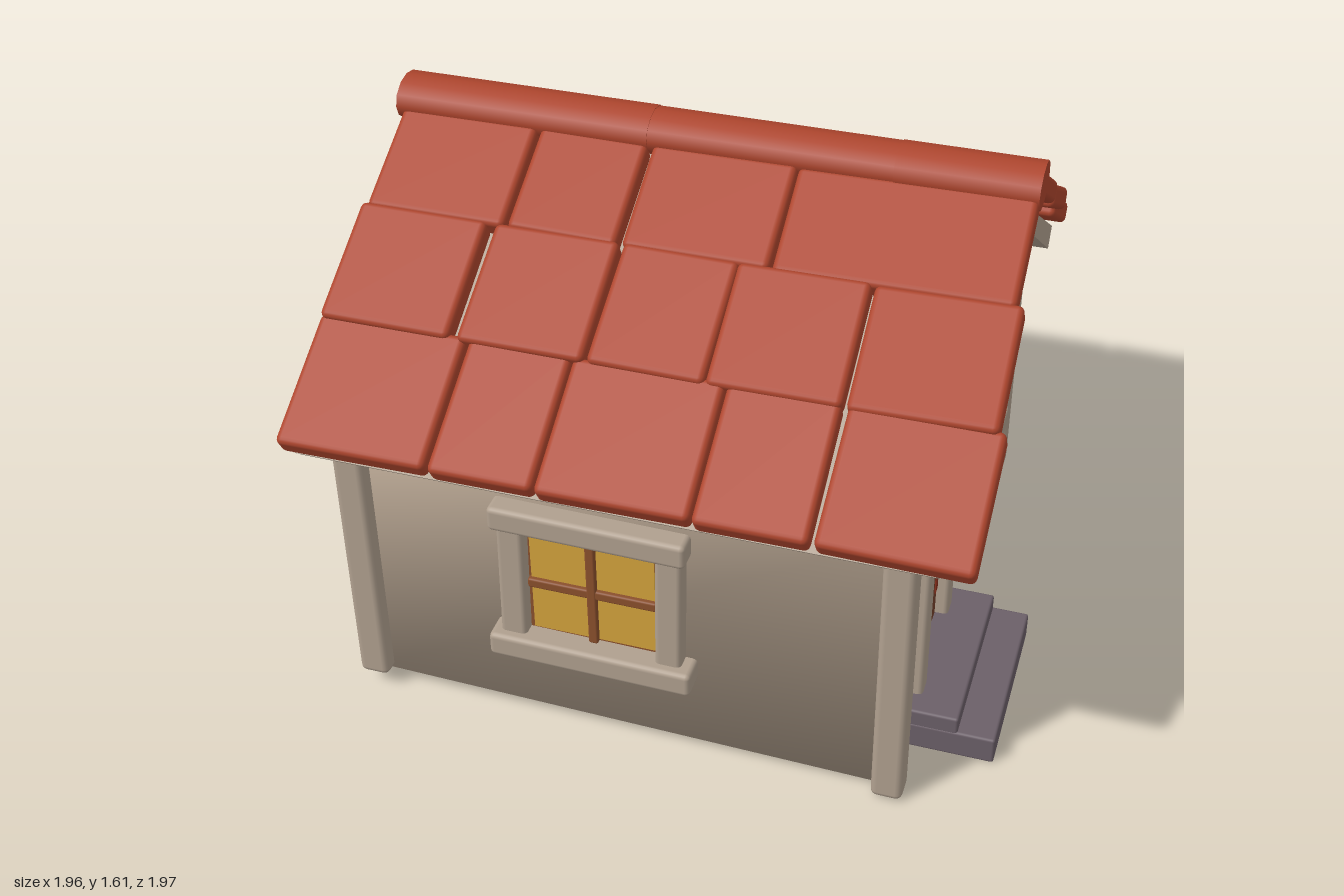
import * as THREE from 'three';
import { mergeVertices } from 'three/addons/utils/BufferGeometryUtils.js';
import { RoundedBoxGeometry } from 'three/addons/geometries/RoundedBoxGeometry.js';

const mat = (name, color) => new THREE.MeshStandardMaterial({ name, color });

export function createModel() {
  const plaster = mat('plaster', 0xb5a390);
  const trim = mat('trim', 0xb0a08f);
  const clay = mat('clay tile', 0xad452d);
  const glass = mat('lit glass', 0xd2a23c);
  const bars = mat('window wood', 0x8a4f2c);
  const doorWood = mat('door wood', 0x73402b);
  const stone = mat('stone', 0x6b5f68);
  const metal = mat('metal', 0x6c6a70);
  const red = mat('door mark', 0x8a2f1c);

  const house = new THREE.Group();
  house.name = 'house';

  const add = (parent, name, geometry, material, x = 0, y = 0, z = 0) => {
    const mesh = new THREE.Mesh(geometry, material);
    mesh.name = name;
    mesh.position.set(x, y, z);
    parent.add(mesh);
    return mesh;
  };

  // Soft-edged block given by its limits
  const block = (parent, name, material, [x0, x1], [y0, y1], [z0, z1], r = 0.015) =>
    add(parent, name, new RoundedBoxGeometry(x1 - x0, y1 - y0, z1 - z0, 2, r), material,
      (x0 + x1) / 2, (y0 + y1) / 2, (z0 + z1) / 2);

  // Prism along x from a (z, y) outline
  const prism = (outline, x0, x1) => {
    const shape = new THREE.Shape(outline.map(([z, y]) => new THREE.Vector2(-z, y)));
    return new THREE.ExtrudeGeometry(shape, { depth: x1 - x0, bevelEnabled: false })
      .rotateY(Math.PI / 2).translate(x0, 0, 0);
  };

  // Walls: gabled body with soft shading, floor rising to the left
  let body = prism([[0.81, 0.015], [0.81, 0.9], [0, 1.44], [-0.76, 0.91], [-0.76, 0.015]], -0.86, 0.7);
  const p = body.attributes.position;
  for (let i = 0; i < p.count; i++) if (p.getX(i) < 0 && p.getY(i) < 0.1) p.setY(i, 0.05);
  body.deleteAttribute('uv');
  body.deleteAttribute('normal');
  body = mergeVertices(body);
  body.computeVertexNormals();
  add(house, 'walls', body, plaster);

  // Corner posts
  for (const [x, z, y0] of [[0.715, 0.815, 0.005], [0.715, -0.755, 0.005], [-0.852, 0.81, 0.05], [-0.852, -0.765, 0.055]])
    block(house, 'cornerPost', trim, [x - 0.046, x + 0.046], [y0, 0.91], [z - 0.045, z + 0.045], 0.02);

  // Roof boards under the tiles
  add(house, 'roofBoards', prism([[0, 1.49], [0.92, 0.905], [0.865, 0.855], [0, 1.425],
    [-0.855, 0.83], [-0.9, 0.89]], -0.97, 0.82), trim);

  // Tile rows: lower end, upper end as (z, y), then x limits of every tile
  const rows = [
    [[0.975, 0.965], [0.63, 1.165], [[-0.98, -0.55], [-0.54, -0.245], [-0.24, 0.185], [0.19, 0.5], [0.515, 0.93]]],
    [[0.655, 1.17], [0.33, 1.35], [[-0.98, -0.6], [-0.575, -0.21], [-0.2, 0.13], [0.13, 0.5], [0.51, 0.91]]],
    [[0.34, 1.345], [0.05, 1.51], [[-0.965, -0.55], [-0.54, -0.22], [-0.205, 0.215], [0.22, 0.885]]],
    [[-0.965, 0.91], [-0.65, 1.11], [[-0.98, -0.575], [-0.565, -0.185], [-0.18, 0.145], [0.16, 0.51], [0.52, 0.855]]],
    [[-0.675, 1.125], [-0.35, 1.315], [[-0.95, -0.585], [-0.58, -0.21], [-0.205, 0.165], [0.17, 0.49], [0.485, 0.88]]],
    [[-0.365, 1.325], [-0.06, 1.515], [[-0.975, -0.585], [-0.575, -0.2], [-0.19, 0.2], [0.205, 0.485], [0.495, 0.88]]],
  ];
  let seed = 7;
  const jitter = (a) => {
    seed = (seed * 16807) % 2147483647;
    return (seed / 2147483647 - 0.5) * 2 * a;
  };
  const roof = new THREE.Group();
  roof.name = 'roofTiles';
  house.add(roof);
  for (const [[z0, y0], [z1, y1], tiles] of rows) {
    const length = Math.hypot(z1 - z0, y1 - y0);
    const row = new THREE.Group();
    row.name = 'tileRow';
    row.position.set(0, (y0 + y1) / 2, (z0 + z1) / 2);
    row.rotation.x = Math.atan((y0 - y1) / (z0 - z1)) * -1;
    roof.add(row);
    for (const [x0, x1] of tiles) {
      const tile = add(row, 'tile', new RoundedBoxGeometry(x1 - x0, 0.07, length, 2, 0.018), clay, (x0 + x1) / 2);
      tile.rotation.set(jitter(0.015), jitter(0.015), jitter(0.015));
    }
  }

  // Ridge caps
  for (const [x0, x1, s] of [[-0.98, -0.22, 1], [-0.22, 0.485, 0.97], [0.485, 0.885, 1]]) {
    const cap = new THREE.CylinderGeometry(0.086, 0.086, x1 - x0, 12).rotateZ(Math.PI / 2).scale(1, 0.76 * s, s);
    add(roof, 'ridgeCap', cap, clay, (x0 + x1) / 2, 1.543, -0.003);
  }

  // Window facing +z, origin at the middle of the pane on the wall
  const addWindow = (name, x, y, z, turn, w = 0.38, h = 0.37, tilt = 0) => {
    const g = new THREE.Group();
    g.name = name;
    g.position.set(x, y, z);
    g.rotation.set(0, turn, tilt, 'YXZ');
    house.add(g);
    const a = w / 2, b = h / 2;
    add(g, 'sash', new THREE.BoxGeometry(w + 0.02, h + 0.02, 0.008), bars, 0, 0, 0.004);
    add(g, 'pane', new THREE.BoxGeometry(w - 0.015, h - 0.015, 0.008), glass, 0, 0, 0.008);
    block(g, 'uprightBar', bars, [-0.015, 0.013], [-b, b], [0, 0.028], 0.006);
    block(g, 'crossBar', bars, [-a, a], [-0.022, 0.008], [0, 0.026], 0.006);
    for (const s of [-1, 1]) {
      const jamb = block(g, 'jamb', trim, [s * (a + 0.04) - 0.039, s * (a + 0.04) + 0.039],
        [-b - 0.02, b + 0.02], [-0.02, 0.05]);
      jamb.rotation.z = -0.02;
    }
    block(g, 'lintel', trim, [-a - 0.095, a + 0.095], [b, b + 0.078], [-0.02, 0.062]).rotation.z = -0.012;
    block(g, 'sill', trim, [-a - 0.11, a + 0.11], [-b - 0.078, -b], [-0.02, 0.08]).rotation.z = -0.012;
  };
  const R = Math.PI / 2;
  addWindow('frontWindow', -0.15, 0.53, 0.81, 0);
  addWindow('backWindow', -0.15, 0.58, -0.76, Math.PI);
  addWindow('rightWindow', 0.7, 0.59, -0.28, R, 0.38, 0.4);
  addWindow('leftBackWindow', -0.86, 0.49, -0.26, -R, 0.34, 0.36, -0.03);
  addWindow('leftFrontWindow', -0.86, 0.58, 0.27, -R, 0.34, 0.34);

  // Door on the right gable
  const door = new THREE.Group();
  door.name = 'door';
  house.add(door);
  add(door, 'doorPanel', new THREE.BoxGeometry(0.02, 0.64, 0.32), doorWood, 0.7, 0.44, 0.345);
  block(door, 'doorJamb', trim, [0.68, 0.75], [0.1, 0.77], [0.485, 0.56]);
  block(door, 'doorJamb', trim, [0.68, 0.75], [0.1, 0.77], [0.125, 0.2]);
  block(door, 'doorLintel', trim, [0.68, 0.765], [0.75, 0.833], [0.1, 0.615]);
  add(door, 'knob', new THREE.SphereGeometry(0.035, 16, 12), metal, 0.73, 0.42, 0.26);
  add(door, 'doorMark', new THREE.BoxGeometry(0.006, 0.1, 0.03), red, 0.711, 0.29, 0.218);

  // Stone steps
  block(house, 'lowerStep', stone, [0.69, 0.98], [0, 0.088], [0.068, 0.632], 0.008);
  block(house, 'upperStep', stone, [0.69, 0.87], [0.07, 0.138], [0.07, 0.63], 0.008);

  return house;
}
